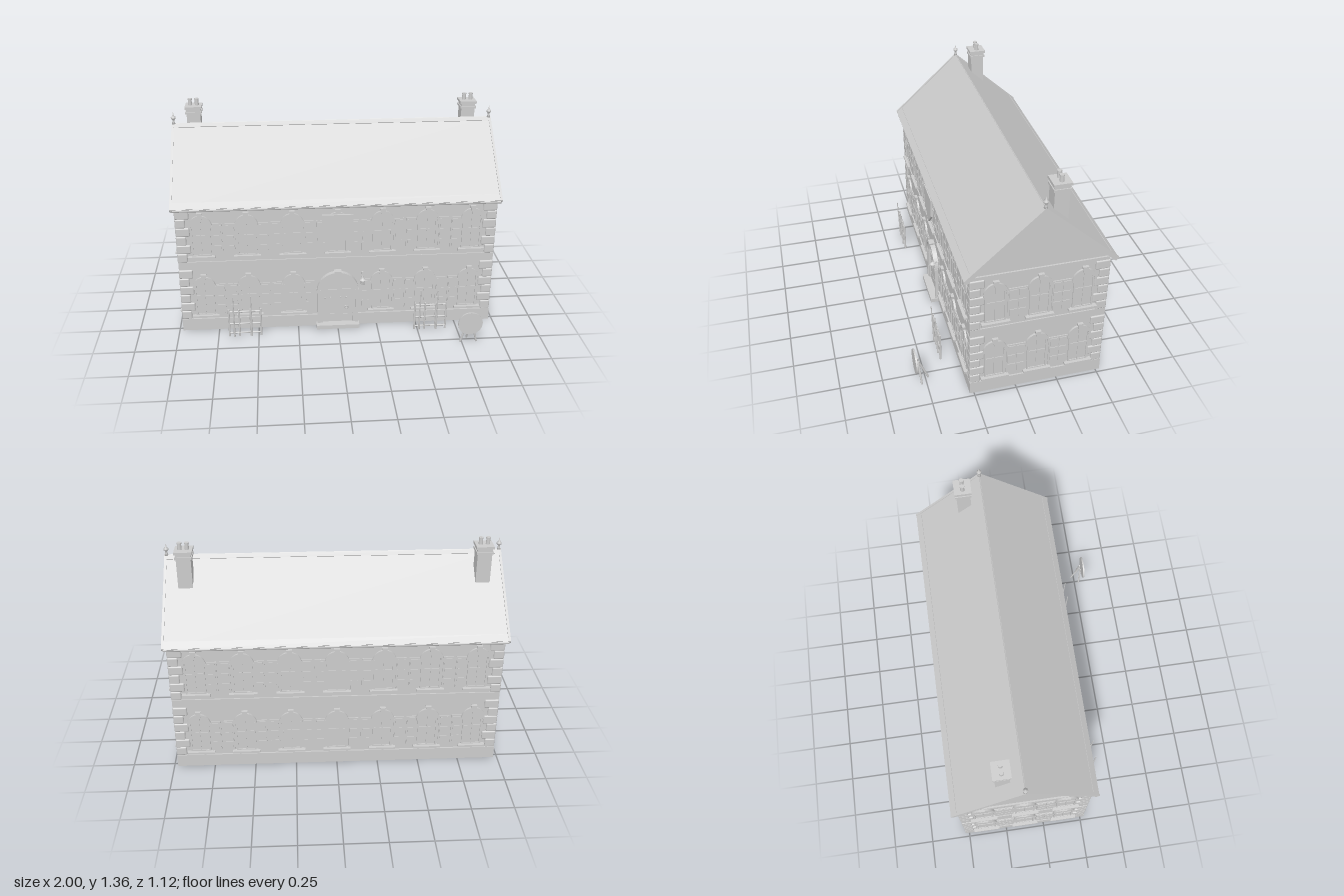
import * as THREE from 'three';
import { RoundedBoxGeometry } from 'three/addons/geometries/RoundedBoxGeometry.js';

const stone = new THREE.MeshStandardMaterial({ color: 0xcccccc });
stone.name = 'pale grey';

const ZC = -0.125; // centre line of the house in z
const HX = 0.968, HZ = 0.39; // half size of the walls

function add(parent, name, geometry, x = 0, y = 0, z = 0) {
  const m = new THREE.Mesh(geometry, stone);
  m.name = name;
  m.position.set(x, y, z);
  parent.add(m);
  return m;
}
const box = (p, name, w, h, d, x, y, z) => add(p, name, new THREE.BoxGeometry(w, h, d), x, y, z);

function rod(p, name, a, b, r0, r1 = r0) {
  const A = new THREE.Vector3(...a), B = new THREE.Vector3(...b), dir = B.clone().sub(A);
  const m = add(p, name, new THREE.CylinderGeometry(r1, r0, dir.length(), 8));
  m.position.copy(A).lerp(B, 0.5);
  m.quaternion.setFromUnitVectors(new THREE.Vector3(0, 1, 0), dir.normalize());
  return m;
}

// Round-headed outline standing on y = 0
function archPath(target, hw, spring, base = 0) {
  target.moveTo(-hw, base);
  target.lineTo(hw, base);
  target.lineTo(hw, spring);
  target.absarc(0, spring, hw, 0, Math.PI, false);
  target.lineTo(-hw, base);
  return target;
}
const extrude = (shape, depth) => new THREE.ExtrudeGeometry(shape, { depth, bevelEnabled: false, curveSegments: 12 });
function archFrame(outer, inner, spring, depth, base = 0.01) {
  const s = archPath(new THREE.Shape(), outer, spring);
  s.holes.push(archPath(new THREE.Path(), inner, spring, base));
  return extrude(s, depth);
}
function archBand(outer, inner, depth) {
  const s = new THREE.Shape();
  s.absarc(0, 0, outer, 0, Math.PI, false);
  s.absarc(0, 0, inner, Math.PI, 0, true);
  return extrude(s, depth);
}
function keystone(w, h, depth) {
  const s = new THREE.Shape([[-w * 0.35, 0], [w * 0.35, 0], [w / 2, h], [-w / 2, h]].map(q => new THREE.Vector2(...q)));
  return extrude(s, depth);
}

const frameGeo = archFrame(0.06, 0.05, 0.2, 0.008);
const glassGeo = extrude(archPath(new THREE.Shape(), 0.052, 0.2), 0.002);
const hoodGeo = archBand(0.07, 0.058, 0.012);
const keyGeo = keystone(0.034, 0.036, 0.018);

// Sash window facing +z, with shutters on the chosen sides
function makeWindow(shutterSides) {
  const g = new THREE.Group();
  g.name = 'window';
  add(g, 'glass', glassGeo);
  add(g, 'windowFrame', frameGeo);
  add(g, 'archHood', hoodGeo, 0, 0.2, 0);
  add(g, 'keystone', keyGeo, 0, 0.252, 0);
  box(g, 'mullion', 0.007, 0.245, 0.006, 0, 0.125, 0.003);
  box(g, 'meetingRail', 0.1, 0.008, 0.006, 0, 0.135, 0.003);
  box(g, 'sill', 0.165, 0.013, 0.026, 0, -0.003, 0.013);
  for (const s of [-1, 1]) box(g, 'impost', 0.014, 0.014, 0.012, s * 0.064, 0.195, 0.006);
  for (const s of shutterSides) {
    box(g, 'shutter', 0.06, 0.212, 0.006, s * 0.1, 0.11, 0.003);
    for (const y of [0.042, 0.11, 0.178]) box(g, 'shutterPanel', 0.044, 0.056, 0.004, s * 0.1, y, 0.008);
  }
  return g;
}

// Two rows of windows on one wall; skip leaves out the doorway
function makeFacade(name, xs, skip) {
  const g = new THREE.Group();
  g.name = name;
  [0.105, 0.518].forEach((y, row) => xs.forEach((x, i) => {
    if (row === 0 && i === skip) return;
    const w = makeWindow(i === 0 ? [1] : i === xs.length - 1 ? [-1] : [-1, 1]);
    w.position.set(x, y, 0);
    g.add(w);
  }));
  return g;
}

function makeDoor() {
  const g = new THREE.Group();
  g.name = 'doorway';
  add(g, 'doorLeaf', extrude(archPath(new THREE.Shape(), 0.1, 0.23), 0.008), 0, 0.025, 0);
  add(g, 'doorFrame', archFrame(0.115, 0.094, 0.23, 0.02, 0), 0, 0.025, 0);
  add(g, 'doorHood', archBand(0.13, 0.112, 0.03), 0, 0.255, 0);
  add(g, 'doorKeystone', keystone(0.045, 0.035, 0.036), 0, 0.36, 0);
  for (const s of [-1, 1]) {
    box(g, 'doorPilaster', 0.018, 0.23, 0.026, s * 0.12, 0.14, 0.013);
    box(g, 'doorImpost', 0.026, 0.016, 0.03, s * 0.121, 0.253, 0.015);
  }
  box(g, 'transom', 0.19, 0.008, 0.012, 0, 0.255, 0.006);
  box(g, 'doorStep', 0.27, 0.026, 0.055, 0, 0.013, 0.032);
  for (const x of [-0.08, -0.045, 0.02, 0.055]) add(g, 'doorStud', new THREE.SphereGeometry(0.005, 8, 6), x, 0.2, 0.009);
  add(g, 'doorRing', new THREE.TorusGeometry(0.01, 0.004, 6, 14), 0.055, 0.13, 0.012);
  return g;
}

function makeLantern() {
  const g = new THREE.Group();
  g.name = 'lantern';
  rod(g, 'lanternArm', [0, 0.345, 0], [0, 0.345, 0.045], 0.005);
  add(g, 'lanternGlass', new THREE.CylinderGeometry(0.014, 0.01, 0.032, 6), 0, 0.32, 0.043);
  add(g, 'lanternCap', new THREE.CylinderGeometry(0.004, 0.021, 0.014, 6), 0, 0.343, 0.043);
  box(g, 'lanternBracket', 0.014, 0.06, 0.008, 0, 0.345, 0.004);
  return g;
}

function makeChimney() {
  const g = new THREE.Group();
  g.name = 'chimney';
  box(g, 'stack', 0.085, 0.32, 0.085, 0, 1.15, 0);
  box(g, 'collar', 0.1, 0.014, 0.1, 0, 1.282, 0);
  box(g, 'neck', 0.088, 0.03, 0.088, 0, 1.3, 0);
  box(g, 'cap', 0.104, 0.016, 0.104, 0, 1.314, 0);
  for (const s of [-1, 1]) {
    add(g, 'pot', new THREE.CylinderGeometry(0.011, 0.013, 0.045, 12), s * 0.021, 1.342, 0);
    add(g, 'potRim', new THREE.CylinderGeometry(0.014, 0.014, 0.008, 12), s * 0.021, 1.36, 0);
  }
  return g;
}

// Gate-like rack of rails and posts
function makeRack(x) {
  const g = new THREE.Group();
  g.name = 'rack';
  g.position.set(x, 0, 0.38);
  for (const px of [-0.098, -0.035, 0.035, 0.098]) rod(g, 'post', [px, 0.012, 0], [px, 0.2, 0], 0.006);
  for (const y of [0.035, 0.1, 0.185]) rod(g, 'rail', [-0.102, y, 0], [0.102, y, 0], 0.005);
  for (const px of [-0.068, 0.04]) rod(g, 'tallStake', [px, 0.01, 0.004], [px, 0.295, 0.016], 0.006, 0.003);
  return g;
}

function makeEasel() {
  const g = new THREE.Group();
  g.name = 'roundSign';
  g.position.set(0.79, 0, 0);
  add(g, 'signDisc', new THREE.CylinderGeometry(0.075, 0.075, 0.01, 32), 0, 0.147, 0.557).rotation.x = Math.PI / 2;
  for (const s of [-1, 1]) rod(g, 'easelLeg', [s * 0.05, 0.003, 0.53], [s * 0.015, 0.15, 0.54], 0.006);
  rod(g, 'easelBackLeg', [0, 0.003, 0.482], [0, 0.14, 0.536], 0.006);
  return g;
}

export function createModel() {
  const model = new THREE.Group();
  model.name = 'house';

  // Walls, plinth and string courses
  box(model, 'walls', HX * 2, 0.8, HZ * 2, 0, 0.445, ZC);
  box(model, 'plinth', 1.955, 0.08, 0.8, 0, 0.04, ZC);
  box(model, 'stringCourse', HX * 2 + 0.014, 0.05, HZ * 2 + 0.014, 0, 0.455, ZC);
  box(model, 'eavesBand', HX * 2 + 0.008, 0.02, HZ * 2 + 0.008, 0, 0.835, ZC);

  // Corner quoins, alternately long and short
  for (const sx of [-1, 1]) for (const sz of [-1, 1]) for (const y0 of [0.08, 0.48]) for (let i = 0; i < 6; i++) {
    const l = i % 2 ? 0.086 : 0.062, out = 0.01, h = 0.0575;
    add(model, 'quoin', new RoundedBoxGeometry(l, h, l, 2, 0.008),
      sx * (HX + out - l / 2), y0 + h * (i + 0.5), ZC + sz * (HZ + out - l / 2));
  }

  // Windows on all four walls
  const longXs = [-0.828, -0.552, -0.276, 0, 0.276, 0.552, 0.828], shortXs = [-0.253, 0, 0.253];
  const front = makeFacade('frontWindows', longXs, 3);
  front.position.z = ZC + HZ;
  front.add(makeDoor());
  const lantern = makeLantern();
  lantern.position.x = 0.155;
  front.add(lantern);
  const back = makeFacade('backWindows', longXs, -1);
  back.position.z = ZC - HZ;
  back.rotation.y = Math.PI;
  model.add(front, back);
  for (const s of [-1, 1]) {
    const side = makeFacade('sideWindows', shortXs, -1);
    side.position.set(s * HX, 0, ZC);
    side.rotation.y = s * Math.PI / 2;
    model.add(side);
  }

  // Hanging shield over the door
  const shield = new THREE.Shape([[-0.097, 0.78], [-0.097, 0.655], [0, 0.56], [0.094, 0.655], [0.094, 0.78]].map(q => new THREE.Vector2(...q)));
  add(model, 'shield', extrude(shield, 0.013), 0, 0, 0.286);

  // Gable triangles under the roof
  const alongX = (pts, len, name) => {
    const m = add(model, name, extrude(new THREE.Shape(pts.map(q => new THREE.Vector2(...q))), len));
    m.rotation.y = Math.PI / 2;
    m.position.set(-len / 2, 0, ZC);
    return m;
  };
  alongX([[-0.405, 0.84], [0.405, 0.84], [0, 1.212]], HX * 2, 'gable');
  box(model, 'gableCornice', HX * 2 + 0.02, 0.01, 0.8, 0, 0.845, ZC);

  // Roof slabs, edge boards, ridge and gutters
  const chevron = (o, t) => [[0, 1.238 + o], [0.434 + o * 0.3, 0.843 + o], [0.418, 0.828], [0, 1.238 - t], [-0.418, 0.828], [-0.434 - o * 0.3, 0.843 + o]].reverse();
  alongX(chevron(0, 0.03), 1.97, 'roof');
  for (const s of [-1, 1]) alongX(chevron(0.006, 0.034), 0.014, 'bargeboard').position.x = s * 0.99 - 0.007;
  for (const s of [-1, 1]) {
    const cap = box(model, 'ridgeCap', 1.98, 0.006, 0.028, 0, 1.23, ZC + s * 0.011);
    cap.rotation.x = s * 0.738;
    const strip = box(model, 'eavesStrip', 1.975, 0.006, 0.045, 0, 0.861, ZC + s * 0.414);
    strip.rotation.x = s * 0.738;
    rod(model, 'gutter', [-0.99, 0.836, ZC + s * 0.423], [0.99, 0.836, ZC + s * 0.423], 0.01);
  }

  // Chimneys and finials at both ends
  const finial = new THREE.LatheGeometry([[0, 0], [0.012, 0], [0.007, 0.014], [0.006, 0.026], [0.015, 0.034],
    [0.015, 0.042], [0.006, 0.05], [0, 0.075]].map(q => new THREE.Vector2(...q)), 12);
  for (const s of [-1, 1]) {
    const chimney = makeChimney();
    chimney.position.set(s * 0.867, 0, -0.24);
    model.add(chimney);
    add(model, 'finial', finial, s * 0.984, 1.238, ZC);
  }

  // Things standing in front of the house
  model.add(makeRack(-0.582), makeRack(0.575), makeEasel());
  return model;
}
